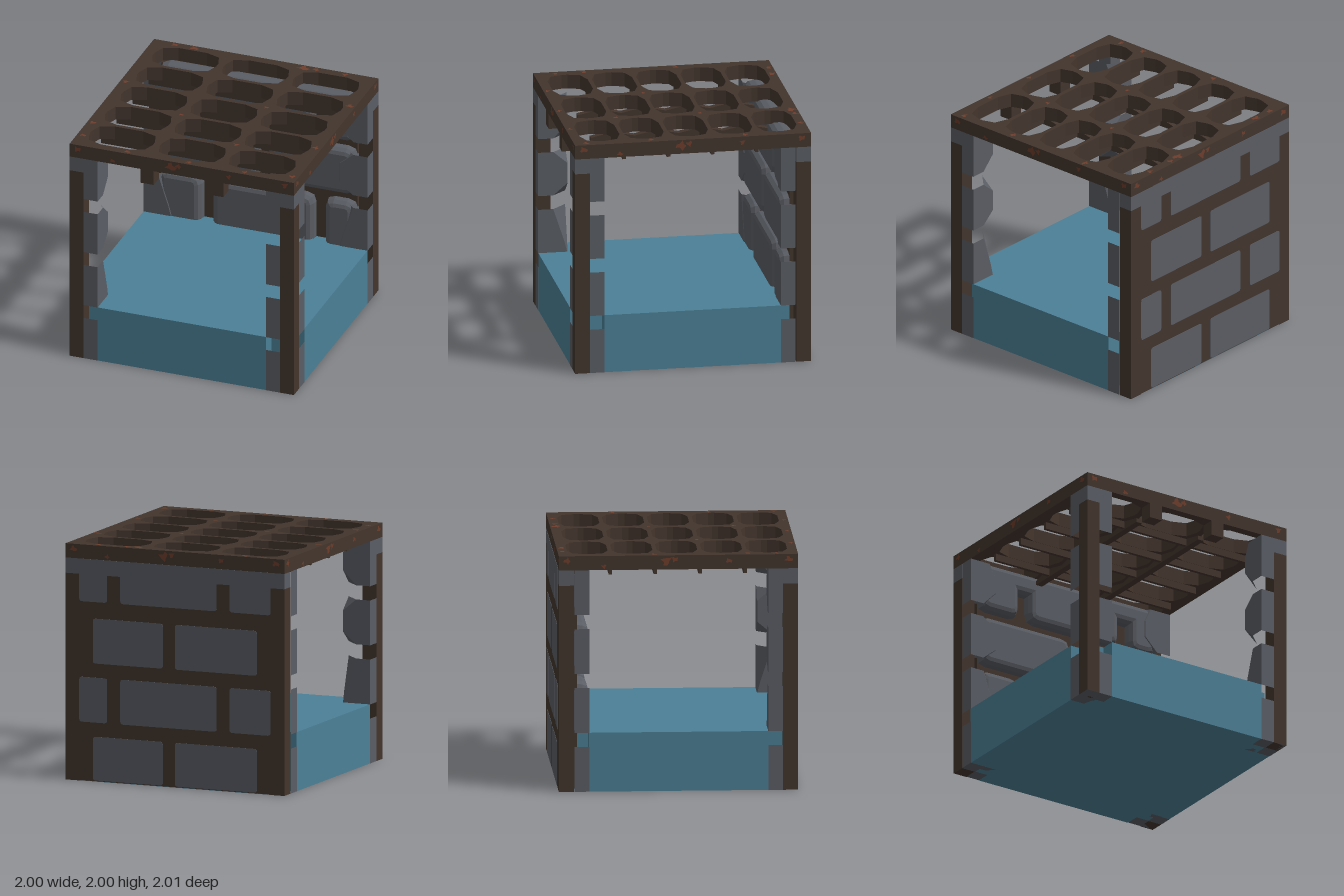
import * as THREE from 'three';

const mat = (name, color) => Object.assign(new THREE.MeshStandardMaterial({ color }), { name });

export function createModel() {
  const root = new THREE.Group();
  const stone = mat('grey stone', 0x5a5d64);
  const mortar = mat('brown iron and mortar', 0x43352d);
  const rust = mat('rust', 0x6e3d2b);
  const water = mat('water blue', 0x4c8096);

  const add = (name, geo, material, parent = root) => {
    const m = new THREE.Mesh(geo, material);
    m.name = name;
    parent.add(m);
    return m;
  };
  // Box given by its minimum and maximum corners
  const box = (name, [x0, y0, z0], [x1, y1, z1], material) => {
    const g = new THREE.BoxGeometry(x1 - x0, y1 - y0, z1 - z0);
    g.translate((x0 + x1) / 2, (y0 + y1) / 2, (z0 + z1) / 2);
    return add(name, g, material);
  };
  const polygon = (pts, Type = THREE.Shape) => new Type(pts.map(([x, y]) => new THREE.Vector2(x, y)));
  const roundedRect = (x0, y0, x1, y1, r) => {
    const s = new THREE.Shape();
    s.moveTo(x0 + r, y0);
    s.lineTo(x1 - r, y0);
    s.quadraticCurveTo(x1, y0, x1, y0 + r);
    s.lineTo(x1, y1 - r);
    s.quadraticCurveTo(x1, y1, x1 - r, y1);
    s.lineTo(x0 + r, y1);
    s.quadraticCurveTo(x0, y1, x0, y1 - r);
    s.lineTo(x0, y0 + r);
    s.quadraticCurveTo(x0, y0, x0 + r, y0);
    return s;
  };

  // Water block, notched around the corner posts
  const a = 0.998, n = 0.87, p = 0.75;
  const waterGeo = new THREE.ExtrudeGeometry(polygon([
    [a, -p], [a, p], [n, p], [n, n], [p, n], [p, a], [-p, a], [-p, n], [-n, n], [-n, p],
    [-a, p], [-a, -p], [-n, -p], [-n, -n], [-p, -n], [-p, -a], [p, -a], [p, -n], [n, -n], [n, -p],
  ]), { depth: 0.5, bevelEnabled: false });
  waterGeo.rotateX(Math.PI / 2).translate(0, 0.5, 0);
  add('water', waterGeo, water);

  // Corner stones: a square wrap whose inner corner is cut back by c at height y
  const wrap = (sections, bottomCap) => {
    const loops = sections.map(([y, c]) => [
      [0.875, 1], [0.75, 1], [0.75, 0.75 + c], [0.75 + c, 0.75], [1, 0.75], [1, 0.875],
    ].map(([x, z]) => [x, y, z]));
    const v = [];
    for (let i = 0; i < loops.length - 1; i++) {
      for (let j = 0; j < 5; j++) {
        const p0 = loops[i][j], p1 = loops[i][j + 1], q0 = loops[i + 1][j], q1 = loops[i + 1][j + 1];
        v.push(...p1, ...p0, ...q0, ...p1, ...q0, ...q1);
      }
    }
    if (bottomCap) {
      const l = loops[0], corner = [1, l[0][1], 1];
      for (let j = 0; j < 5; j++) v.push(...corner, ...l[j], ...l[j + 1]);
    }
    const g = new THREE.BufferGeometry();
    g.setAttribute('position', new THREE.Float32BufferAttribute(v, 3));
    g.computeVertexNormals();
    return g;
  };
  const e = 0.004, c = 0.122;
  const stones = [
    wrap([[0, e], [0.38, e]], true),
    wrap([[0.5, e], [0.6, 0.03], [0.88, c]]),
    wrap([[1, c], [1.1, e], [1.28, e], [1.38, c]]),
    wrap([[1.5, c], [1.62, e], [1.76, e], [1.88, 0.06]]),
  ];
  for (let k = 0; k < 4; k++) {
    const corner = new THREE.Group();
    corner.name = 'cornerStones';
    corner.rotation.y = k * Math.PI / 2;
    const back = k === 1 || k === 2;
    if (back) corner.position.z = 0.006;
    stones.forEach((g) => add('cornerStone', g, stone, corner));
    root.add(corner);
  }
  for (const sx of [-1, 1]) {
    for (const sz of [-1, 1]) {
      const post = (name, y0, y1, m) => box(name,
        [sx > 0 ? 0.875 : -1, y0, sz > 0 ? 0.875 : -1],
        [sx > 0 ? 1 : -0.875, y1, sz > 0 ? 1 : -0.875], m);
      post('cornerPost', 0, 1.75, mortar);
      post('cornerPostCap', 1.75, 1.88, stone);
    }
  }

  // Back wall with bulging bricks inside
  box('wallMortar', [-0.875, 0.004, -1], [0.875, 1.88, -0.84], mortar);
  const bulge = 0.06;
  const innerBricks = [
    [-0.88, 1.47, -0.49, 1.9], [-0.4, 1.47, 0.51, 1.9], [0.61, 1.47, 0.88, 1.9],
    [-0.88, 1.7, 0.88, 1.9],
    [-0.88, 0.97, 0.02, 1.41], [0.1, 0.97, 0.88, 1.41],
    [-0.88, 0.42, -0.49, 0.91], [-0.4, 0.42, 0.51, 0.91], [0.6, 0.42, 0.88, 0.91],
  ];
  for (const [x0, y0, x1, y1] of innerBricks) {
    const g = new THREE.ExtrudeGeometry(
      roundedRect(x0 + bulge, y0 + bulge, x1 - bulge, y1 - bulge, 0.03),
      { depth: 0.01, bevelSize: bulge, bevelThickness: 0.09, bevelSegments: 3, curveSegments: 2 });
    add('innerBrick', g.translate(0, 0, -0.85), stone);
  }
  // Flat brick faces on the outside of the wall
  const outerBricks = [
    [-0.875, 1.52, -0.5, 1.88], [-0.38, 1.52, 0.5, 1.88], [0.62, 1.52, 0.875, 1.88],
    [-0.75, 1, 0, 1.38], [0.11, 1, 0.75, 1.38],
    [-0.875, 0.5, -0.5, 0.88], [-0.38, 0.5, 0.5, 0.88], [0.62, 0.5, 0.875, 0.88],
    [-0.75, 0.01, 0, 0.38], [0.11, 0.01, 0.75, 0.38],
  ];
  for (const r of outerBricks) {
    const g = new THREE.ExtrudeGeometry(roundedRect(...r, 0.025),
      { depth: 0.005, bevelEnabled: false, curveSegments: 3 });
    add('outerBrick', g.translate(0, 0, -1.003), stone);
  }
  box('outerBrickBand', [-0.875, 1.75, -1.003], [0.875, 1.88, -0.998], stone);

  // Top grate with eight-sided style openings
  const grate = polygon([[-1, -1], [1, -1], [1, 1], [-1, 1]]);
  const quarter = [[1, 0.15], [0.88, 0.75], [0.45, 1]];
  const rev = [...quarter].reverse();
  const ring = [...quarter, ...rev.map(([x, y]) => [-x, y]),
    ...quarter.map(([x, y]) => [-x, -y]), ...rev.map(([x, y]) => [x, -y])];
  for (const cx of [-0.625, 0, 0.625]) {
    for (const cz of [-0.75, -0.375, 0, 0.375, 0.75]) {
      grate.holes.push(polygon(ring.map(([x, y]) => [cx + x * 0.283, cz + y * 0.17]), THREE.Path));
    }
  }
  const grateGeo = new THREE.ExtrudeGeometry(grate, { depth: 0.12, bevelEnabled: false });
  add('topGrate', grateGeo.rotateX(Math.PI / 2).translate(0, 2, 0), mortar);

  // Ribs under the grate
  const wave = [[-0.75, 1.81], [0.75, 1.81]];
  for (let i = 8; i >= 0; i--) wave.push([(i - 4) * 0.1875, i % 2 ? 1.885 : 1.845]);
  for (const x of [-0.31, 0.31]) {
    const g = new THREE.ExtrudeGeometry(polygon(wave), { depth: 0.06, bevelEnabled: false });
    add('lengthRib', g.rotateY(-Math.PI / 2).translate(x + 0.03, 0, 0), mortar);
    const tab = x > 0 ? [0.25, 0.37] : [-0.37, -0.25];
    box('hangingTab', [tab[0], 1.75, 0.88], [tab[1], 1.88, 1], mortar);
  }
  for (const z of [-0.5625, -0.1875, 0.1875, 0.5625]) {
    box('crossRib', [-0.88, 1.82, z - 0.015], [0.88, 1.885, z + 0.015], mortar);
  }

  // Rust patches: uneven flat blobs on the frame
  const blob = (r, seed) => {
    const pts = [];
    for (let i = 0; i < 9; i++) {
      const t = i / 9 * Math.PI * 2, k = r * (0.75 + 0.35 * Math.sin(seed * 7.3 + i * 2.4));
      pts.push([k * Math.cos(t) * 1.2, k * Math.sin(t)]);
    }
    return new THREE.ShapeGeometry(polygon(pts));
  };
  const topRust = [
    [-0.8, -0.96, 0.03], [-0.63, -0.96, 0.035], [0.35, -0.95, 0.045], [0.46, -0.96, 0.03], [0.72, -0.96, 0.03],
    [-0.95, -0.2, 0.03], [-0.95, 0.58, 0.03], [-0.95, 0.82, 0.025], [0.95, -0.45, 0.03], [0.95, 0.35, 0.03],
    [0.95, 0.9, 0.03], [0.31, 0.53, 0.025], [0.31, -0.18, 0.022], [-0.31, 0.19, 0.02], [-0.5, 0.965, 0.025],
    [0.05, 0.965, 0.025], [0.55, 0.965, 0.025],
  ];
  topRust.forEach(([x, z, r], i) => {
    add('rustPatch', blob(r, i).rotateX(-Math.PI / 2).translate(x, 2.002, z), rust);
  });
  const sideRust = [[-0.93, 1.96, 0.03], [-0.62, 1.91, 0.022], [-0.1, 1.95, 0.045], [-0.03, 1.965, 0.028],
    [0.42, 1.95, 0.025], [0.92, 1.96, 0.03]];
  for (let k = 0; k < 4; k++) {
    sideRust.forEach(([x, y, r], i) => {
      add('rustPatch', blob(r, i + k).translate(x, y, 1.002).rotateY(k * Math.PI / 2), rust);
    });
  }
  return root;
}
